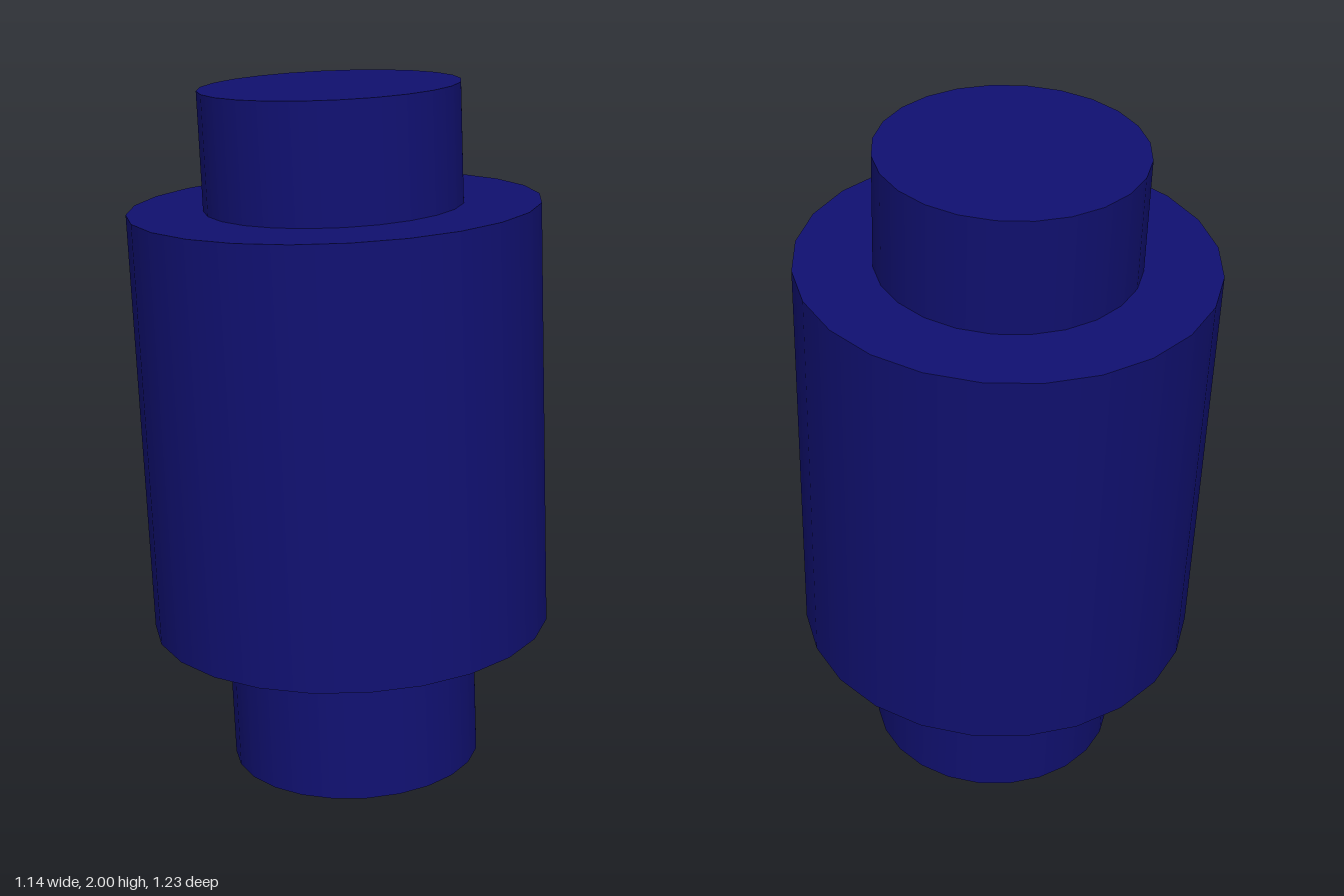
import * as THREE from 'three';

export function createModel() {
  const group = new THREE.Group();
  group.name = 'tiltedRoller';
  const material = new THREE.MeshStandardMaterial({ color: 0x101070 });

  // Both cylinders share one axis, leaning back at the top
  const roller = new THREE.Group();
  roller.name = 'roller';
  roller.position.y = 1;
  roller.rotation.x = -0.072;
  group.add(roller);

  const addCylinder = (name, radius, height, y) => {
    const mesh = new THREE.Mesh(new THREE.CylinderGeometry(radius, radius, height, 24), material);
    mesh.name = name;
    mesh.position.y = y;
    roller.add(mesh);
  };

  // Wide drum in the middle
  addCylinder('drum', 0.572, 1.208, 0.046);
  // Narrow shaft running through it and out of both ends
  addCylinder('shaft', 0.36, 1.953, 0);

  return group;
}
